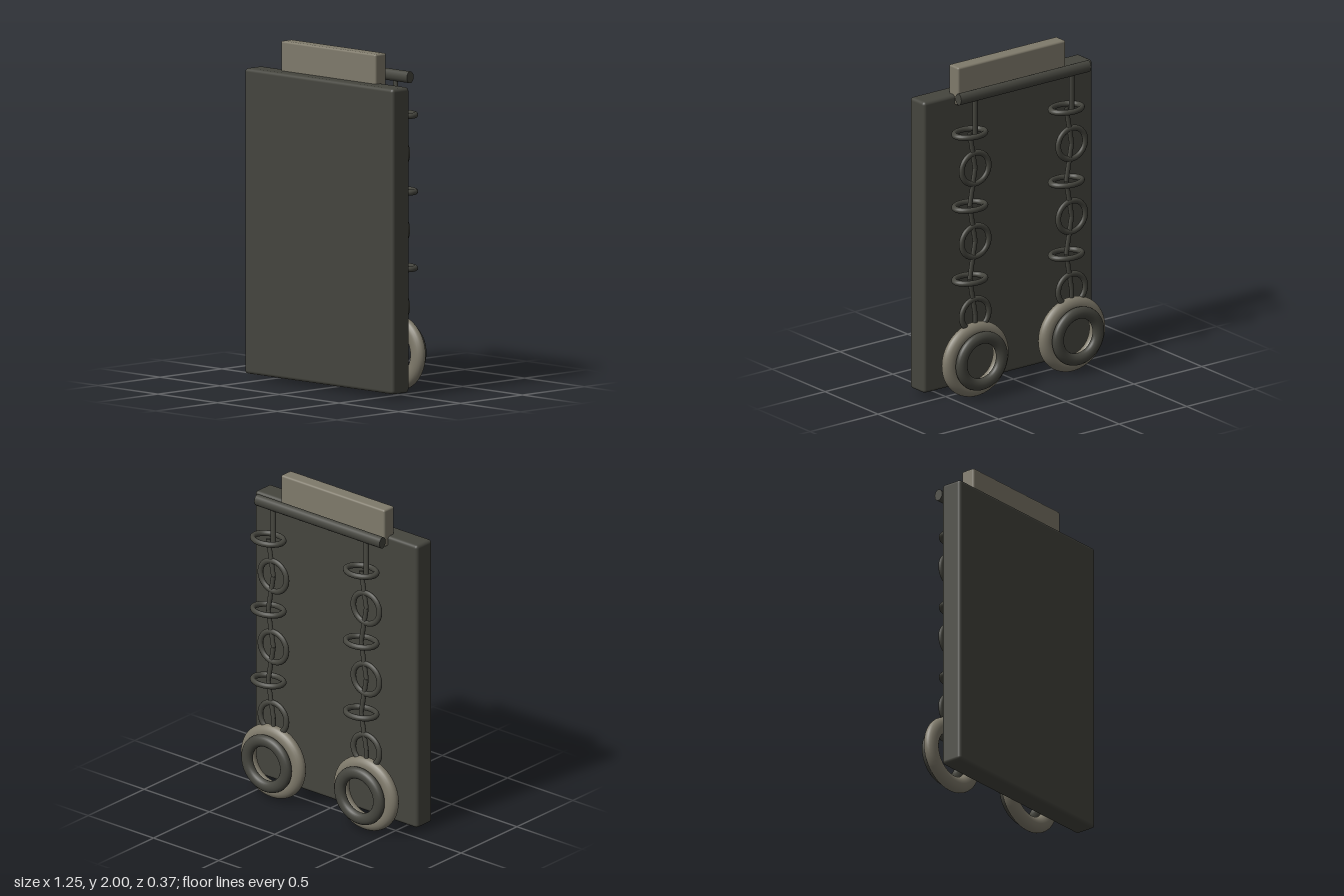
import * as THREE from 'three';
import { RoundedBoxGeometry } from 'three/addons/geometries/RoundedBoxGeometry.js';

const dark = new THREE.MeshStandardMaterial({ color: 0x45453e });
dark.name = 'dark iron';
const light = new THREE.MeshStandardMaterial({ color: 0x7f7a6b });
light.name = 'pale stone';

function add(parent, name, geometry, material, x = 0, y = 0, z = 0) {
  const mesh = new THREE.Mesh(geometry, material);
  mesh.name = name;
  mesh.position.set(x, y, z);
  parent.add(mesh);
  return mesh;
}

// Straight round rod between two points
function rod(parent, name, a, b, radius) {
  const dir = b.clone().sub(a);
  const mesh = add(parent, name, new THREE.CylinderGeometry(radius, radius, dir.length(), 16), dark);
  mesh.position.copy(a).lerp(b, 0.5);
  mesh.quaternion.setFromUnitVectors(new THREE.Vector3(0, 1, 0), dir.normalize());
  return mesh;
}

export function createModel() {
  const model = new THREE.Group();
  model.name = 'chainedPanel';

  // Large slab and the block on its top edge
  add(model, 'panel', new RoundedBoxGeometry(1.245, 1.795, 0.138, 3, 0.02), dark, 0, 0.9275, 0.116);
  add(model, 'topBlock', new RoundedBoxGeometry(0.795, 0.235, 0.09, 3, 0.012), light, -0.002, 1.8825, 0.06);

  // Hanging parts, slightly flattened in depth
  const hanging = new THREE.Group();
  hanging.name = 'hangingChains';
  hanging.position.z = -0.095;
  hanging.scale.set(1.05, 1, 0.79);
  model.add(hanging);

  const barY = 1.855, half = 0.457;
  rod(hanging, 'crossBar', new THREE.Vector3(-half, barY, 0), new THREE.Vector3(half, barY, 0), 0.035);

  const ring = new THREE.TorusGeometry(0.095, 0.0175, 12, 40);
  const wheel = new THREE.TorusGeometry(0.18, 0.048, 20, 56);
  const hub = new THREE.TorusGeometry(0.142, 0.036, 16, 48);

  for (const side of [-1, 1]) {
    const chain = new THREE.Group();
    chain.name = side > 0 ? 'leftChain' : 'rightChain';
    chain.position.x = side * 0.339;
    hanging.add(chain);

    // Hanger from the bar to the first ring
    rod(chain, 'hanger', new THREE.Vector3(0, barY, 0), new THREE.Vector3(0, 1.61, 0), 0.017);

    // Alternating flat and upright rings, joined by slanted pins
    let previous = null;
    for (let i = 0; i < 6; i++) {
      const flat = i % 2 === 0;
      const centre = new THREE.Vector3(flat ? 0.038 : 0, 1.63 - i * 0.225, 0);
      const link = add(chain, flat ? 'flatRing' : 'uprightRing', ring, dark, centre.x, centre.y);
      if (flat) link.rotation.x = Math.PI / 2;
      if (previous) rod(chain, 'pin', previous, centre, 0.015);
      previous = centre;
    }
    rod(chain, 'pin', previous, new THREE.Vector3(0, 0.42, 0), 0.015);

    // Weight ring with a smaller ring on its back
    add(chain, 'weightRing', wheel, light, 0, 0.229, 0);
    add(chain, 'weightInnerRing', hub, dark, 0, 0.233, -0.078);
  }

  return model;
}
